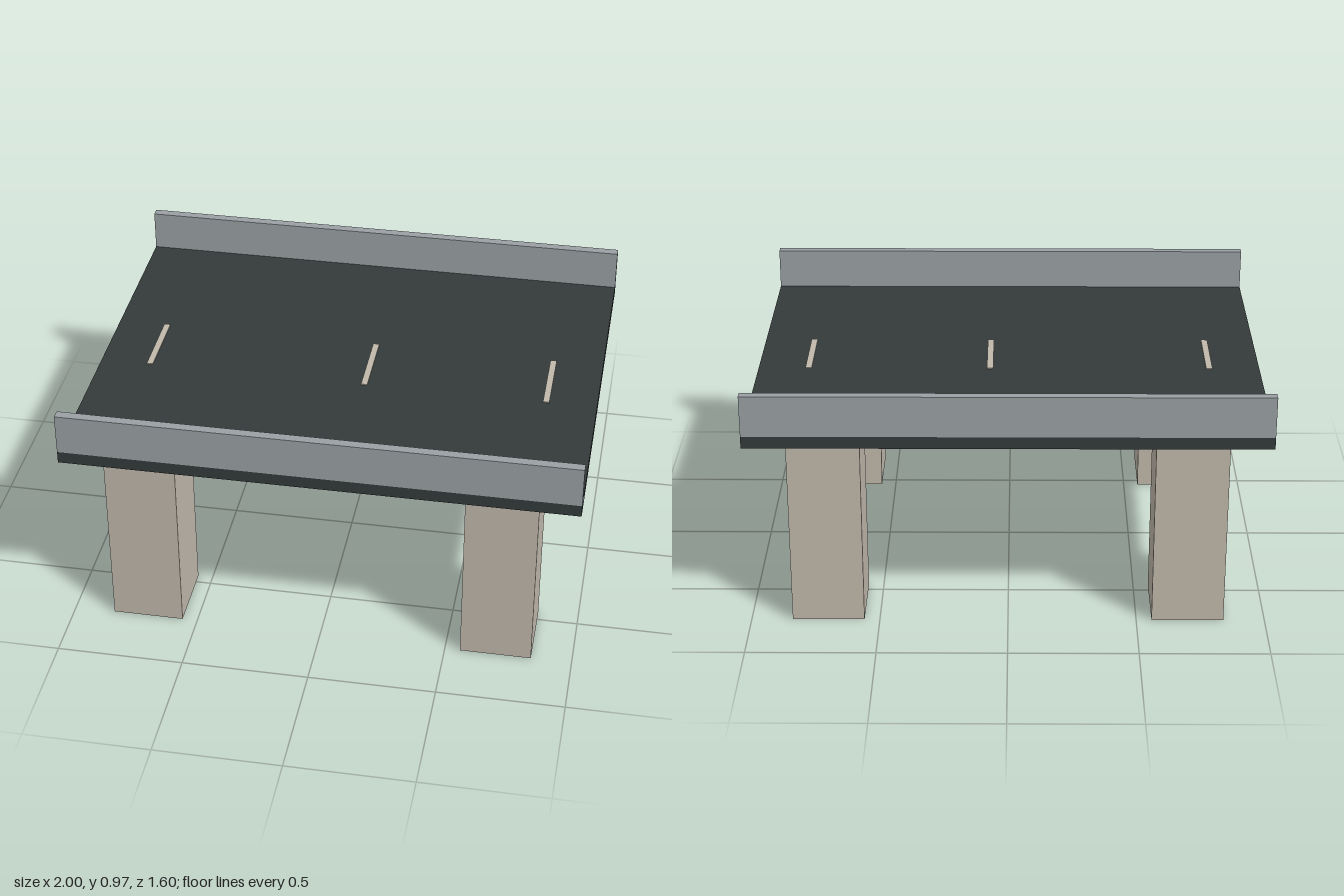
import * as THREE from 'three';

const mat = (name, color) => {
  const m = new THREE.MeshStandardMaterial({ color });
  m.name = name;
  return m;
};

export function createModel() {
  const asphalt = mat('asphalt', 0x343a3a);
  const concrete = mat('pale concrete', 0xc0b8ab);
  const steel = mat('grey barrier', 0x9aa0a4);
  const model = new THREE.Group();
  model.name = 'bridgeSection';

  // Box given by its size, centre and base height
  const box = (name, material, [w, h, d], x, base, z) => {
    const mesh = new THREE.Mesh(new THREE.BoxGeometry(w, h, d), material);
    mesh.name = name;
    mesh.position.set(x, base + h / 2, z);
    model.add(mesh);
  };

  const deckBase = 0.763, deckTop = 0.811;

  // Road deck
  box('deck', asphalt, [2, deckTop - deckBase, 1.6], 0, deckBase, 0);

  for (const sz of [1, -1]) {
    const end = sz > 0 ? 'front' : 'back';
    // Side barriers
    box(end + 'Barrier', steel, [2, 0.163, 0.037], 0, deckTop, sz * 0.7815);
    // Support piers
    for (const sx of [1, -1]) {
      box(end + (sx > 0 ? 'Left' : 'Right') + 'Pier', concrete, [0.28, deckBase, 0.28], sx * 0.7, 0, sz * 0.6);
    }
  }

  // Painted lane dashes
  [-0.8, 0.075, 0.8].forEach((x, i) => {
    box('laneDash' + (i + 1), concrete, [0.025, 0.004, 0.3], x, deckTop, 0);
  });

  return model;
}
